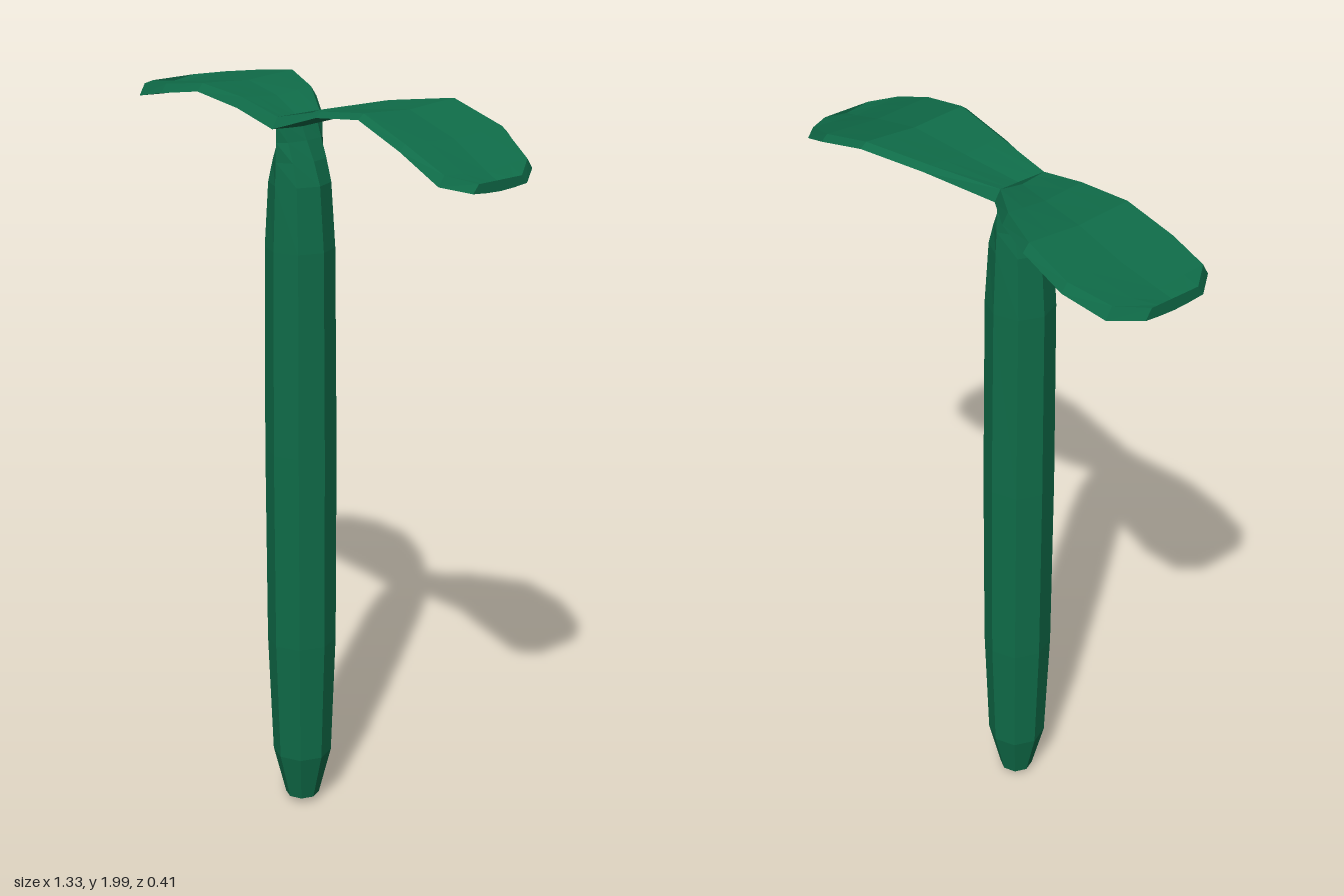
import * as THREE from 'three';

const green = new THREE.MeshStandardMaterial({ color: 0x0f6b48 });
green.name = 'leafGreen';

// Joins closed rings of equal length into a faceted, capped solid
function loft(rings) {
  const n = rings[0].length, pos = rings.flat(2), idx = [];
  for (let i = 0; i < rings.length - 1; i++) {
    for (let j = 0; j < n; j++) {
      const a = i * n + j, b = i * n + (j + 1) % n;
      idx.push(a, b, a + n, b, b + n, a + n);
    }
  }
  const last = (rings.length - 1) * n;
  for (let j = 1; j < n - 1; j++) {
    idx.push(0, j + 1, j, last, last + j, last + j + 1);
  }
  const geo = new THREE.BufferGeometry();
  geo.setAttribute('position', new THREE.Float32BufferAttribute(pos, 3));
  geo.setIndex(idx);
  const flat = geo.toNonIndexed();
  flat.computeVertexNormals();
  return flat;
}

function part(name, geo) {
  const mesh = new THREE.Mesh(geo, green);
  mesh.name = name;
  return mesh;
}

// Octagonal stem, pinched sideways into a ridge under the leaves: [y, half width x, half width z]
function stemGeometry() {
  const sections = [
    [0.008, 0.005, 0.005], [0.025, 0.046, 0.046], [0.16, 0.08, 0.08], [0.5, 0.093, 0.093],
    [1.05, 0.095, 0.095], [1.6, 0.092, 0.09], [1.77, 0.078, 0.083], [1.83, 0.055, 0.08],
    [1.88, 0.028, 0.079], [1.925, 0.006, 0.079],
  ];
  return loft(sections.map(([y, rx, rz]) => Array.from({ length: 8 }, (_, j) => {
    const a = -j * Math.PI / 4;
    return [-0.027 + rx * Math.cos(a), y, 0.075 + rz * Math.sin(a)];
  })));
}

// Leaf blade cross-section at x: thin, bevelled at both edges, shallow trough along the middle
function leafRing([x, top, bottom, back, front]) {
  const w = front - back, at = (t) => back + w * t;
  const low = bottom + 0.004;
  return [
    [x, low, back],
    [x, bottom, at(0.25)],
    [x, bottom - 0.002, at(0.5)],
    [x, bottom, at(0.75)],
    [x, low, front],
    [x, top, front - 0.018],
    [x, top - 0.004, at(0.75)],
    [x, top - 0.01, at(0.5)],
    [x, top - 0.004, at(0.25)],
    [x, top, back + 0.018],
  ].reverse();
}

export function createModel() {
  const model = new THREE.Group();
  model.name = 'seedling';
  model.add(part('stem', stemGeometry()));

  // Leaf stations: [x, top, bottom, back z, front z]
  const joint = [-0.028, 1.945, 1.912, -0.012, 0.165];
  const rightLeaf = [
    [-0.665, 1.943, 1.912, -0.115, 0.065], [-0.61, 1.95, 1.915, -0.185, 0.135],
    [-0.49, 1.967, 1.94, -0.21, 0.155], [-0.33, 1.99, 1.966, -0.185, 0.16],
    [-0.17, 1.975, 1.945, -0.11, 0.16], joint,
  ];
  const leftLeaf = [
    joint, [0.13, 1.98, 1.962, -0.105, 0.16], [0.295, 2.0, 1.982, -0.17, 0.172],
    [0.465, 1.955, 1.935, -0.165, 0.198], [0.602, 1.904, 1.875, -0.11, 0.205],
    [0.66, 1.885, 1.86, -0.03, 0.15],
  ];
  model.add(part('rightLeaf', loft(rightLeaf.map(leafRing))));
  model.add(part('leftLeaf', loft(leftLeaf.map(leafRing))));
  return model;
}
